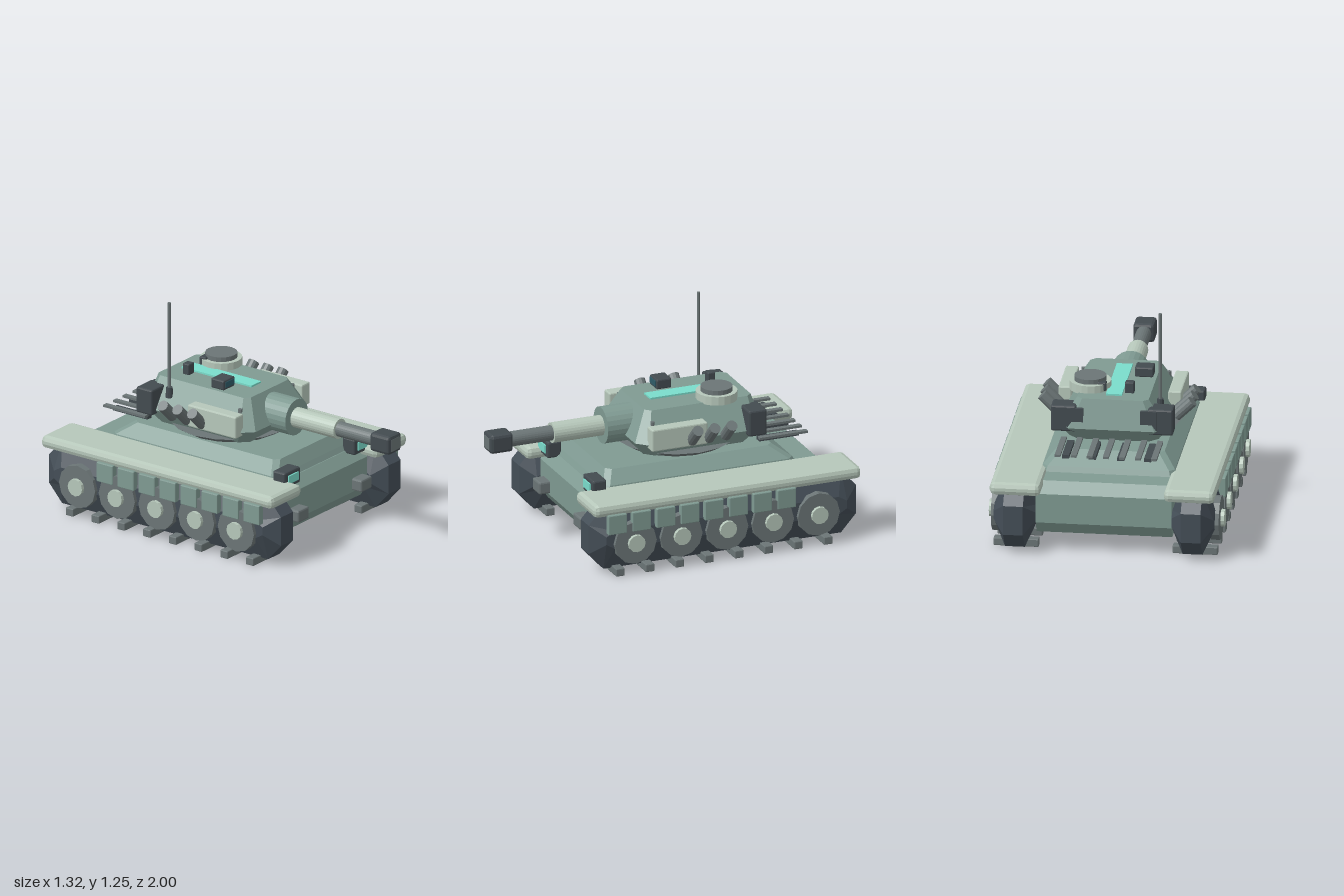
import * as THREE from 'three';
import { RoundedBoxGeometry } from 'three/addons/geometries/RoundedBoxGeometry.js';

const paint = (color) => new THREE.MeshStandardMaterial({ color, flatShading: true });
const GREEN = paint(0x7f9a92), LIGHT = paint(0xb6c7ba), GREY = paint(0x6b7576);
const DARK = paint(0x434b50), TRACK = paint(0x444e57), CYAN = paint(0x7adccb), GLASS = paint(0x2f5c68);

// Rectangle with cut corners, as eight [u, v] points
function cutRect(u0, u1, v0, v1, c, d = c) {
  return [[u0 + c, v0], [u1 - c, v0], [u1, v0 + d], [u1, v1 - d],
    [u1 - c, v1], [u0 + c, v1], [u0, v1 - d], [u0, v0 + d]];
}

// Skin a stack of equal-length rings and close both ends
function loft(rings) {
  const n = rings[0].length, tris = [];
  for (let r = 0; r + 1 < rings.length; r++) {
    for (let i = 0; i < n; i++) {
      const j = (i + 1) % n, A = rings[r], B = rings[r + 1];
      tris.push([A[i], A[j], B[j]], [A[i], B[j], B[i]]);
    }
  }
  const last = rings[rings.length - 1];
  for (let i = 1; i + 1 < n; i++) {
    tris.push([rings[0][0], rings[0][i + 1], rings[0][i]], [last[0], last[i], last[i + 1]]);
  }
  // Turn the skin outward if its signed volume is negative
  let volume = 0;
  for (const [a, b, c] of tris) {
    volume += new THREE.Vector3(...a).dot(new THREE.Vector3(...b).cross(new THREE.Vector3(...c)));
  }
  const pts = tris.flatMap((t) => (volume < 0 ? [t[0], t[2], t[1]] : t)).flat();
  const g = new THREE.BufferGeometry();
  g.setAttribute('position', new THREE.Float32BufferAttribute(pts, 3));
  g.computeVertexNormals();
  return g;
}

export function createModel() {
  const model = new THREE.Group();
  model.name = 'tank';

  function add(name, geometry, material, x = 0, y = 0, z = 0, parent = model) {
    const m = new THREE.Mesh(geometry, material);
    m.name = name;
    m.position.set(x, y, z);
    parent.add(m);
    return m;
  }
  // Box given by its limits, with an optional chamfer
  function box(name, mat, x0, x1, y0, y1, z0, z1, bevel = 0, parent = model) {
    const s = [x1 - x0, y1 - y0, z1 - z0];
    const g = bevel ? new RoundedBoxGeometry(...s, 1, bevel) : new THREE.BoxGeometry(...s);
    return add(name, g, mat, (x0 + x1) / 2, (y0 + y1) / 2, (z0 + z1) / 2, parent);
  }
  // Same box on both sides, given by its left-hand limits
  function pair(name, mat, x0, x1, ...rest) {
    box(name + 'Left', mat, x0, x1, ...rest);
    box(name + 'Right', mat, -x1, -x0, ...rest);
  }
  // Cylinder along z between two depths
  function tubeZ(name, mat, r, z0, z1, y, sides = 24) {
    const g = new THREE.CylinderGeometry(r, r, z1 - z0, sides).rotateX(Math.PI / 2);
    return add(name, g, mat, 0, y, (z0 + z1) / 2);
  }

  // Hull: side profile swept across the width
  const hullProfile = [[0.47, 0.113], [0.515, 0.18], [0.515, 0.35], [0.46, 0.41],
    [-0.85, 0.41], [-0.91, 0.35], [-0.91, 0.18], [-0.87, 0.113]];
  add('hull', loft([-0.38, 0.38].map((x) => hullProfile.map(([z, y]) => [x, y, z]))), GREEN);

  // Sloped deck above the hull
  const deck = [[0.40, 0.38, -0.72, 0.46], [0.44, 0.37, -0.70, 0.44], [0.51, 0.30, -0.60, 0.40]];
  add('upperDeck', loft(deck.map(([y, hx, zb, zf]) =>
    cutRect(-hx, hx, zb, zf, 0.03).map(([x, z]) => [x, y, z]))), GREEN);

  // Running gear on each side
  for (const s of [1, -1]) {
    const side = new THREE.Group();
    side.name = s > 0 ? 'leftRunningGear' : 'rightRunningGear';
    model.add(side);

    const inner = cutRect(-0.915, 0.535, 0.165, 0.27, 0.05, 0.03);
    const full = cutRect(-0.995, 0.617, 0.03, 0.40, 0.09, 0.1);
    const rings = [[0.38, inner], [0.442, full], [0.553, full], [0.616, inner]];
    add('track', loft(rings.map(([x, ring]) => ring.map(([z, y]) => [s * x, y, z]))), TRACK, 0, 0, 0, side);

    const mid = (a, b) => (s > 0 ? [a, b] : [-b, -a]);
    box('fender', LIGHT, ...mid(0.345, 0.63), 0.36, 0.434, -1, 0.61, 0.028, side);

    for (let i = 0; i < 8; i++) {
      const zc = 0.455 - 0.179 * i, zp = 0.478 - 0.1457 * i;
      box('trackCleat', GREY, ...mid(0.375, 0.628), 0, 0.046, zc - 0.026, zc + 0.026, 0.005, side);
      box('skirtPanel', GREEN, ...mid(0.605, 0.645), 0.26, 0.375, zp - 0.056, zp + 0.056, 0.005, side);
    }
    for (let i = 0; i < 5; i++) {
      const z = 0.367 - 0.276 * i;
      const wheel = new THREE.CylinderGeometry(0.126, 0.126, 0.05, 12).rotateZ(Math.PI / 2);
      const hub = new THREE.CylinderGeometry(0.05, 0.05, 0.06, 12).rotateZ(Math.PI / 2);
      add('roadWheel', wheel, GREY, s * 0.613, 0.192, z, side);
      add('wheelHub', hub, LIGHT, s * 0.629, 0.192, z, side);
    }

    // Smoke launchers leaning outward
    for (let i = 0; i < 3; i++) {
      const tube = add('smokeLauncher', new THREE.CylinderGeometry(0.032, 0.032, 0.13, 12),
        GREY, s * 0.375, 0.665, -0.1 - 0.102 * i);
      tube.rotation.z = -s * 0.8;
    }
    add('turretBolt', new THREE.CylinderGeometry(0.013, 0.013, 0.03, 8), GREY, s * 0.24, 0.715, 0.1);
  }

  // Front lamps and tow blocks
  pair('headlight', DARK, 0.25, 0.395, 0.395, 0.49, 0.44, 0.525, 0.01);
  pair('headlightLens', CYAN, 0.275, 0.367, 0.42, 0.468, 0.5, 0.533);
  pair('towBlock', GREY, 0.24, 0.342, 0.19, 0.262, 0.5, 0.58, 0.01);

  // Engine grille behind the turret
  for (let i = -3; i <= 3; i++) {
    box('grilleSlat', GREY, i * 0.09 - 0.016, i * 0.09 + 0.016, 0.54, 0.553, -0.82, -0.53);
  }
  for (const x of [-0.23, -0.08, 0.08, 0.23]) {
    box('grilleLouver', DARK, x - 0.02, x + 0.02, 0.518, 0.538, -0.78, -0.54);
  }

  // Turret ring and faceted turret body
  add('turretRing', new THREE.CylinderGeometry(0.345, 0.2, 0.085, 16), GREY, 0, 0.503, -0.14);
  const turret = [[0.53, 0.25, -0.49, 0.14, 0.05], [0.615, 0.305, -0.565, 0.205, 0.065],
    [0.78, 0.2, -0.52, 0.12, 0.03]];
  add('turret', loft(turret.map(([y, hx, zb, zf, c]) =>
    cutRect(-hx, hx, zb, zf, c).map(([x, z]) => [x, y, z]))), GREEN);

  // Gun
  tubeZ('gunMantlet', GREEN, 0.105, 0.08, 0.31, 0.655);
  tubeZ('barrelSleeve', LIGHT, 0.058, 0.3, 0.61, 0.655);
  tubeZ('barrel', GREY, 0.043, 0.6, 0.88, 0.655);
  box('muzzleBrake', DARK, -0.06, 0.06, 0.6, 0.71, 0.86, 0.997, 0.018);
  box('muzzleOpening', GREY, -0.037, 0.037, 0.62, 0.69, 0.95, 1);

  // Turret side boxes and rear bins
  pair('sideBox', LIGHT, 0.27, 0.345, 0.59, 0.72, -0.19, 0.145, 0.008);
  pair('rearBin', DARK, 0.2, 0.342, 0.59, 0.742, -0.55, -0.44, 0.01);
  pair('rearBinPlate', DARK, 0.16, 0.25, 0.61, 0.73, -0.555, -0.53);

  // Roof fittings
  box('roofStripe', CYAN, -0.045, 0.045, 0.77, 0.79, -0.455, -0.025 + 0.055);
  add('cupola', new THREE.CylinderGeometry(0.117, 0.117, 0.05, 20), LIGHT, 0.148, 0.798, -0.325);
  add('cupolaHatch', new THREE.CylinderGeometry(0.09, 0.09, 0.03, 20), GREY, 0.148, 0.835, -0.325);
  box('sight', DARK, -0.182, -0.078, 0.78, 0.838, -0.15, -0.06, 0.008);
  box('sightGlass', GLASS, -0.167, -0.09, 0.795, 0.828, -0.08, -0.055);
  box('leftPeriscope', DARK, 0.05, 0.1, 0.785, 0.835, -0.405, -0.36, 0.006);
  box('rightPeriscope', DARK, -0.106, -0.055, 0.775, 0.843, -0.405, -0.36, 0.006);
  add('antennaBase', new THREE.CylinderGeometry(0.018, 0.022, 0.06, 10), DARK, -0.252, 0.72, -0.385);
  add('antenna', new THREE.CylinderGeometry(0.01, 0.01, 0.55, 8), GREY, -0.252, 0.978, -0.385);

  return model;
}
